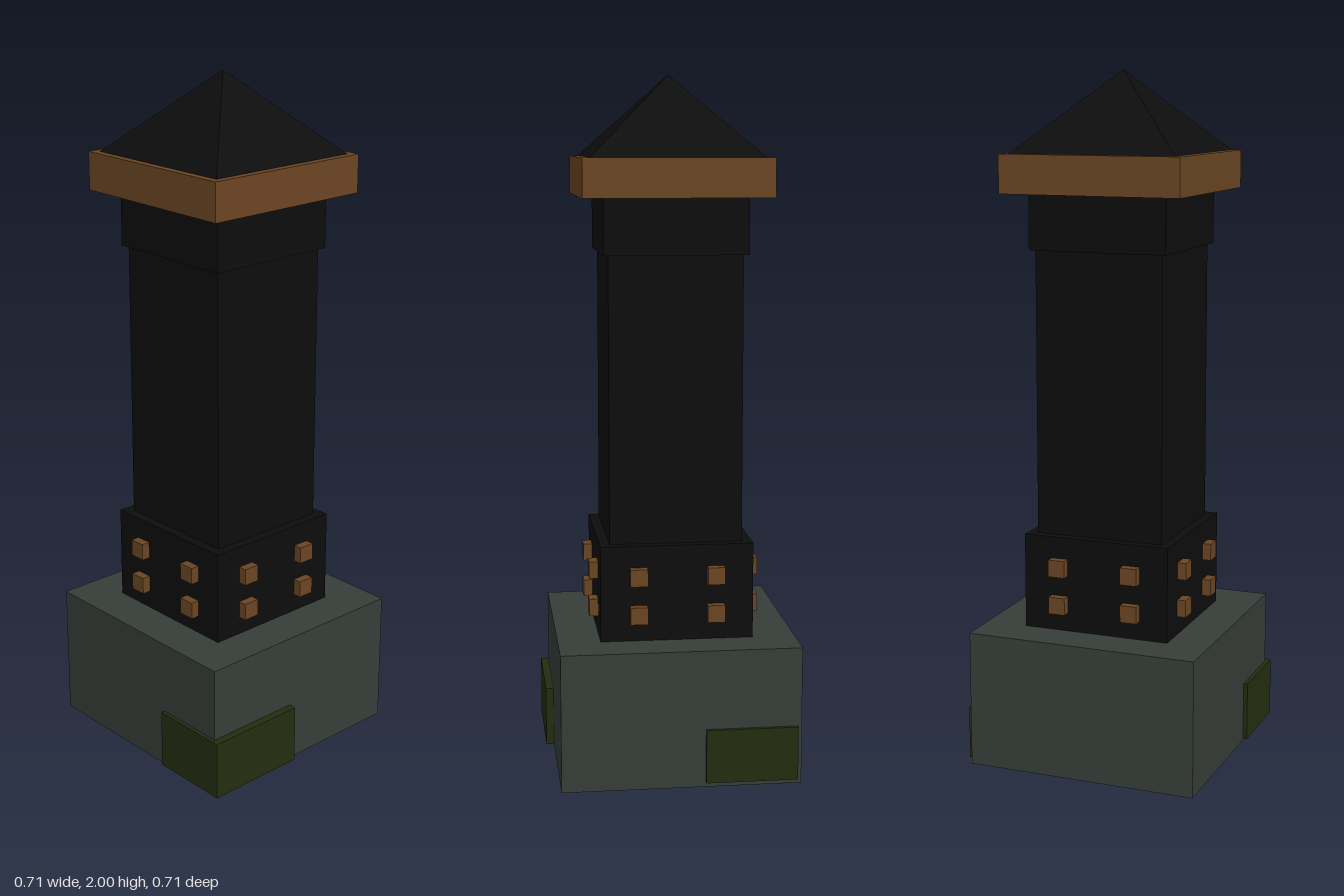
import * as THREE from 'three';

const mat = (name, color) => {
  const m = new THREE.MeshStandardMaterial({ color });
  m.name = name;
  return m;
};

export function createModel() {
  const stone = mat('stone', 0x363d37);
  const black = mat('black', 0x0d0d0d);
  const wood = mat('wood', 0x6b4522);
  const moss = mat('moss', 0x232d10);

  const model = new THREE.Group();
  model.name = 'tower';
  const tower = new THREE.Group();
  tower.name = 'towerBody';
  tower.position.z = -0.012;
  model.add(tower);

  // Box from its minimum and maximum corners
  const box = (name, material, [x0, y0, z0], [x1, y1, z1], parent = tower) => {
    const mesh = new THREE.Mesh(new THREE.BoxGeometry(x1 - x0, y1 - y0, z1 - z0), material);
    mesh.position.set((x0 + x1) / 2, (y0 + y1) / 2, (z0 + z1) / 2);
    mesh.name = name;
    parent.add(mesh);
    return mesh;
  };

  // Stacked square tiers: name, material, half width, bottom, top
  const tiers = [
    ['base', stone, 0.343, 0, 0.4],
    ['lowerCollar', black, 0.22, 0.4, 0.678],
    ['shaft', black, 0.191, 0.678, 1.5],
    ['upperCollar', black, 0.205, 1.5, 1.66],
    ['capBand', wood, 0.267, 1.66, 1.77],
  ];
  for (const [name, material, h, y0, y1] of tiers) box(name, material, [-h, y0, -h], [h, y1, h]);

  // Pyramid roof
  const roofGeo = new THREE.ConeGeometry(0.245 * Math.SQRT2, 0.23, 4, 1).toNonIndexed();
  roofGeo.rotateY(Math.PI / 4);
  roofGeo.computeVertexNormals();
  const roof = new THREE.Mesh(roofGeo, black);
  roof.name = 'roof';
  roof.position.y = 1.885;
  tower.add(roof);

  // Four studs on each side of the lower collar
  for (let side = 0; side < 4; side++) {
    const studs = new THREE.Group();
    studs.name = 'studs';
    studs.rotation.y = side * Math.PI / 2;
    tower.add(studs);
    for (const x of [-0.111, 0.111])
      for (const y of [0.479, 0.59])
        box('stud', wood, [x - 0.025, y - 0.025, 0.2], [x + 0.025, y + 0.025, 0.246], studs);
  }

  // Moss patches on two opposite corners of the base
  box('frontMoss', moss, [-0.355, 0.004, 0.11], [-0.045, 0.18, 0.354], model);
  box('sideMoss', moss, [0.2, 0.014, -0.344], [0.354, 0.17, -0.08], model);

  return model;
}
